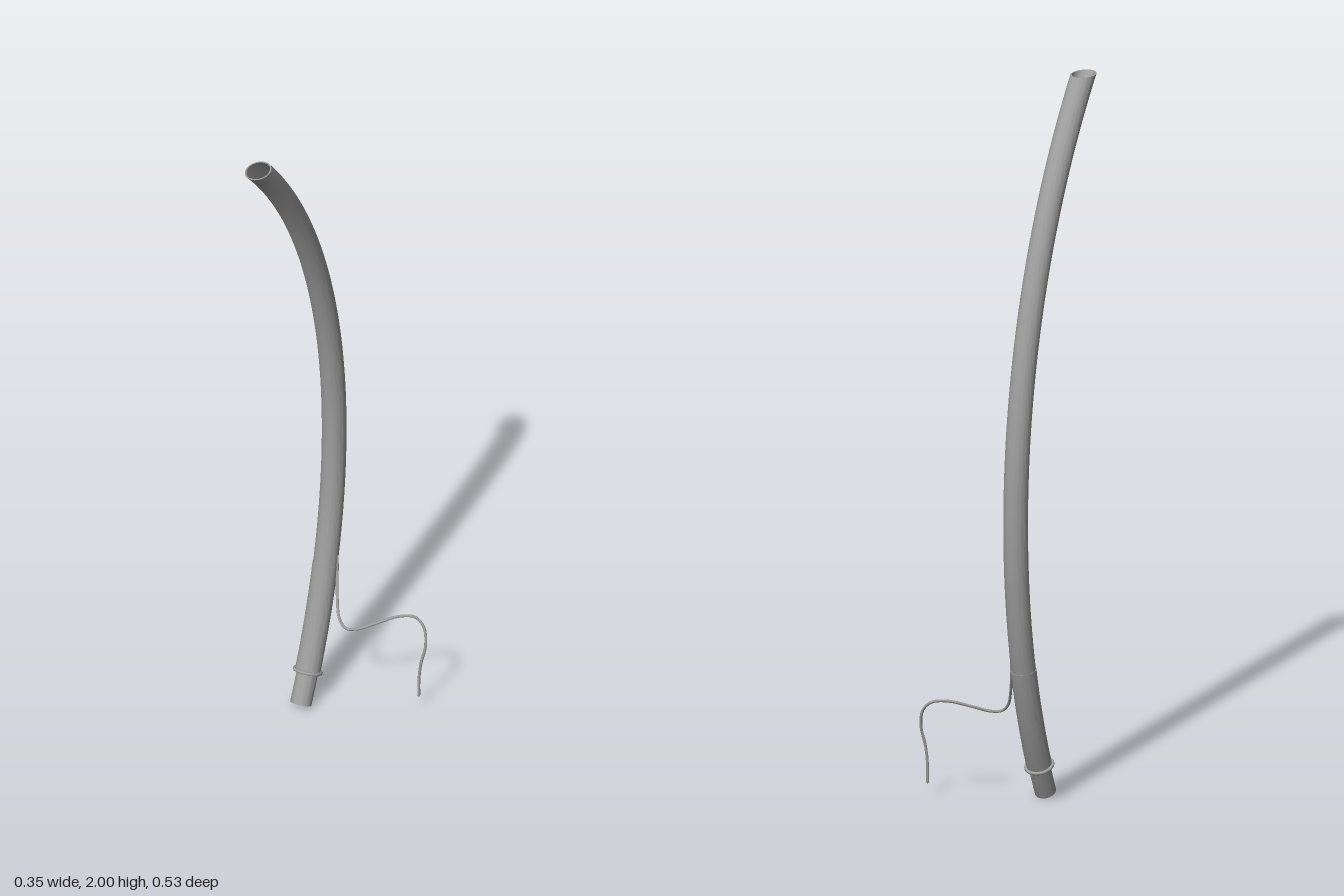
import * as THREE from 'three';
import { toCreasedNormals } from 'three/addons/utils/BufferGeometryUtils.js';

// The pole follows a circular arc in the y-z plane
const R = 1.759, CY = 0.825, CZ = 1.529, POLE_X = -0.133;
const FOOT = -0.479, COLLAR = -0.425, SLEEVE = -0.244, TOP = 2;

// Lathes a closed [radius, fraction] profile, then bends it along the arc.
// With no end angle, the piece is cut level at the top height.
function bentPipe(profile, start, end, steps) {
  const pts = [];
  profile.forEach(([r0, f0], i) => {
    const [r1, f1] = profile[(i + 1) % profile.length];
    const n = Math.max(1, Math.round(Math.abs(f1 - f0) * steps));
    for (let k = 0; k < n; k++) {
      pts.push(new THREE.Vector2(r0 + (r1 - r0) * k / n, f0 + (f1 - f0) * k / n));
    }
  });
  pts.push(pts[0].clone());
  const geo = new THREE.LatheGeometry(pts, 40);
  const p = geo.attributes.position;
  for (let i = 0; i < p.count; i++) {
    const rho = R - p.getZ(i);
    const last = end ?? Math.asin((TOP - CY) / rho);
    const a = start + (last - start) * p.getY(i);
    p.setXYZ(i, POLE_X + p.getX(i), CY + rho * Math.sin(a), CZ - rho * Math.cos(a));
  }
  return toCreasedNormals(geo, 0.6);
}

const tubeProfile = (outer, inner) => [[outer, 0], [outer, 1], [inner, 1], [inner, 0]];

export function createModel() {
  const group = new THREE.Group();
  const grey = new THREE.MeshStandardMaterial({ color: 0x9c9c9c });
  grey.name = 'grey';
  const add = (name, geo) => {
    const mesh = new THREE.Mesh(geo, grey);
    mesh.name = name;
    group.add(mesh);
  };

  // Long hollow pole, the slightly wider sleeve and the narrower foot
  add('pole', bentPipe(tubeProfile(0.034, 0.030), SLEEVE, undefined, 60));
  add('sleeve', bentPipe(tubeProfile(0.0355, 0.029), COLLAR, SLEEVE, 14));
  add('foot', bentPipe(tubeProfile(0.030, 0.025), FOOT, COLLAR, 4));

  // Thin collar with a rounded rim
  add('collar', bentPipe(
    [[0.028, 0], [0.040, 0], [0.042, 0.3], [0.042, 0.7], [0.040, 1], [0.028, 1]],
    COLLAR - 0.0025, COLLAR + 0.0025, 1));

  // Loose cable leaving the side of the pole
  const path = new THREE.CatmullRomCurve3([
    [-0.101, 0.43, -0.187], [-0.097, 0.39, -0.18], [-0.083, 0.33, -0.152],
    [-0.058, 0.273, -0.118], [-0.035, 0.253, -0.111], [-0.008, 0.252, -0.122],
    [0.037, 0.268, -0.151], [0.09, 0.286, -0.188], [0.13, 0.284, -0.208],
    [0.157, 0.258, -0.208], [0.168, 0.208, -0.197], [0.159, 0.15, -0.187],
    [0.155, 0.1, -0.183], [0.156, 0.045, -0.18],
  ].map((v) => new THREE.Vector3(...v)));
  add('cable', new THREE.TubeGeometry(path, 90, 0.004, 10));

  // Caps closing the cable ends
  for (const t of [0, 1]) {
    const cap = new THREE.SphereGeometry(0.004, 10, 8);
    cap.translate(...path.getPoint(t).toArray());
    add(t ? 'cableTip' : 'cableRoot', cap);
  }
  return group;
}
